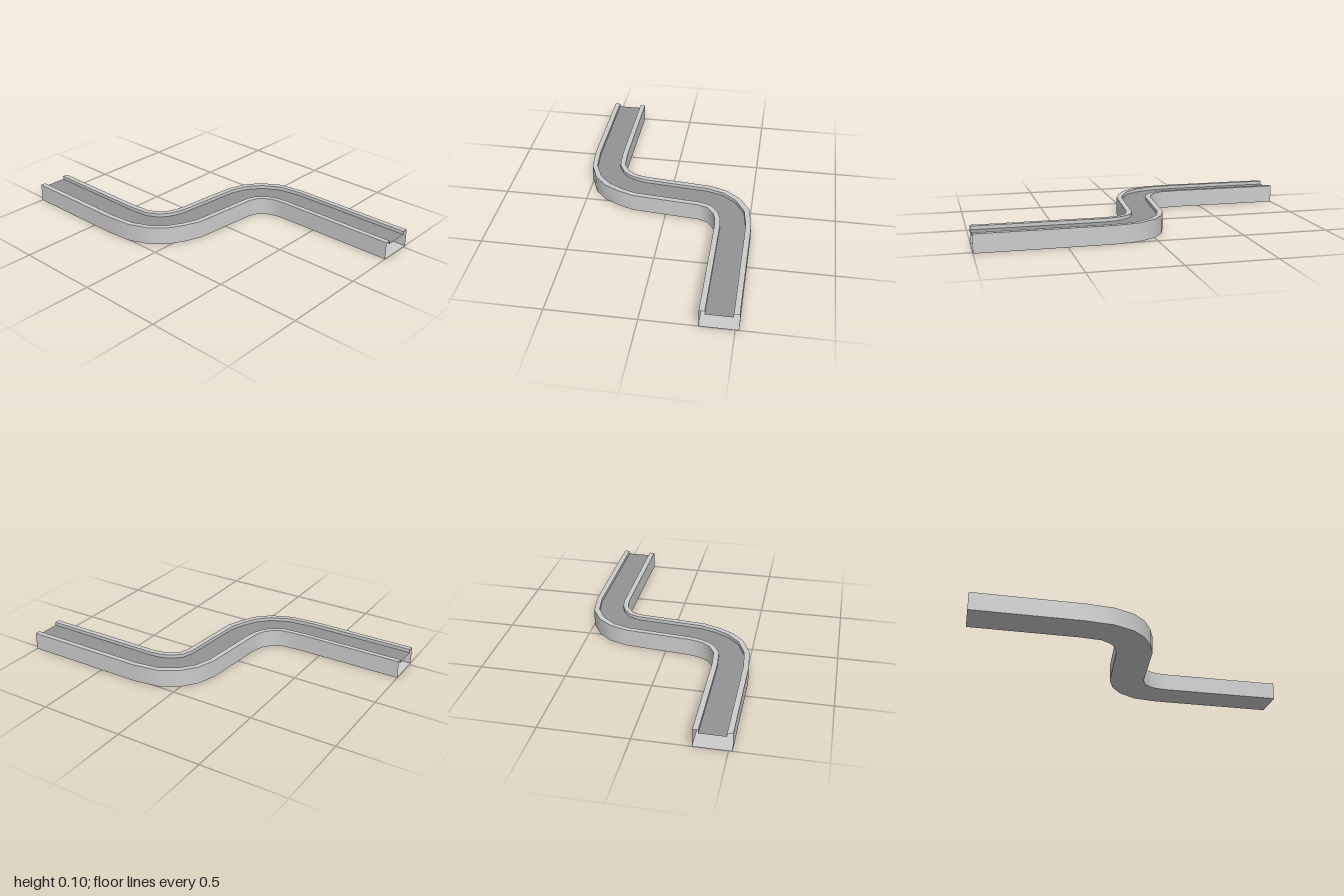
import * as THREE from 'three';

// Matching [left x, left z, right x, right z] edge points along the S-shaped run
const STATIONS = [
  [-0.52, -1, -0.315, -1],
  [-0.52, -0.37, -0.315, -0.37],
  [-0.505, -0.21, -0.305, -0.25],
  [-0.455, -0.09, -0.27, -0.19],
  [-0.385, -0.015, -0.23, -0.16],
  [-0.295, 0.035, -0.19, -0.145],
  [-0.2, 0.07, -0.145, -0.135],
  [0.2, 0.105, 0.24, -0.1],
  [0.255, 0.125, 0.345, -0.065],
  [0.295, 0.18, 0.43, 0],
  [0.306, 0.222, 0.495, 0.105],
  [0.312, 0.27, 0.518, 0.255],
  [0.312, 1, 0.52, 1],
];
const HEIGHT = 0.105, FLOOR = 0.085, RIM = 0.15; // RIM is a fraction of the width

// Strip swept along the run between two cross-section points [fraction across, height]
function strip(a, b) {
  const positions = [], index = [];
  STATIONS.forEach(([lx, lz, rx, rz], i) => {
    for (const [t, y] of [a, b]) {
      positions.push(lx + (rx - lx) * t, y, lz + (rz - lz) * t);
    }
    if (i < STATIONS.length - 1) {
      const k = i * 2;
      index.push(k, k + 2, k + 1, k + 1, k + 2, k + 3);
    }
  });
  const geometry = new THREE.BufferGeometry();
  geometry.setAttribute('position', new THREE.Float32BufferAttribute(positions, 3));
  geometry.setIndex(index);
  geometry.computeVertexNormals();
  return geometry;
}

export function createModel() {
  const group = new THREE.Group();
  group.name = 'curvedChannel';
  const shell = new THREE.MeshStandardMaterial({ name: 'light grey', color: 0xcccccc, side: THREE.DoubleSide });
  const bed = new THREE.MeshStandardMaterial({ name: 'dark grey', color: 0x939393, side: THREE.DoubleSide });

  // Cross-section, clockwise from the lower left corner; the ends stay open
  const section = [
    [0, 0], [0, HEIGHT], [RIM, HEIGHT], [RIM, FLOOR],
    [1 - RIM, FLOOR], [1 - RIM, HEIGHT], [1, HEIGHT], [1, 0],
  ];
  const names = [
    'rightOuterWall', 'rightRim', 'rightInnerLip', 'channelBed',
    'leftInnerLip', 'leftRim', 'leftOuterWall', 'underside',
  ];
  names.forEach((name, i) => {
    const geometry = strip(section[i], section[(i + 1) % section.length]);
    const mesh = new THREE.Mesh(geometry, name === 'channelBed' ? bed : shell);
    mesh.name = name;
    group.add(mesh);
  });
  return group;
}
